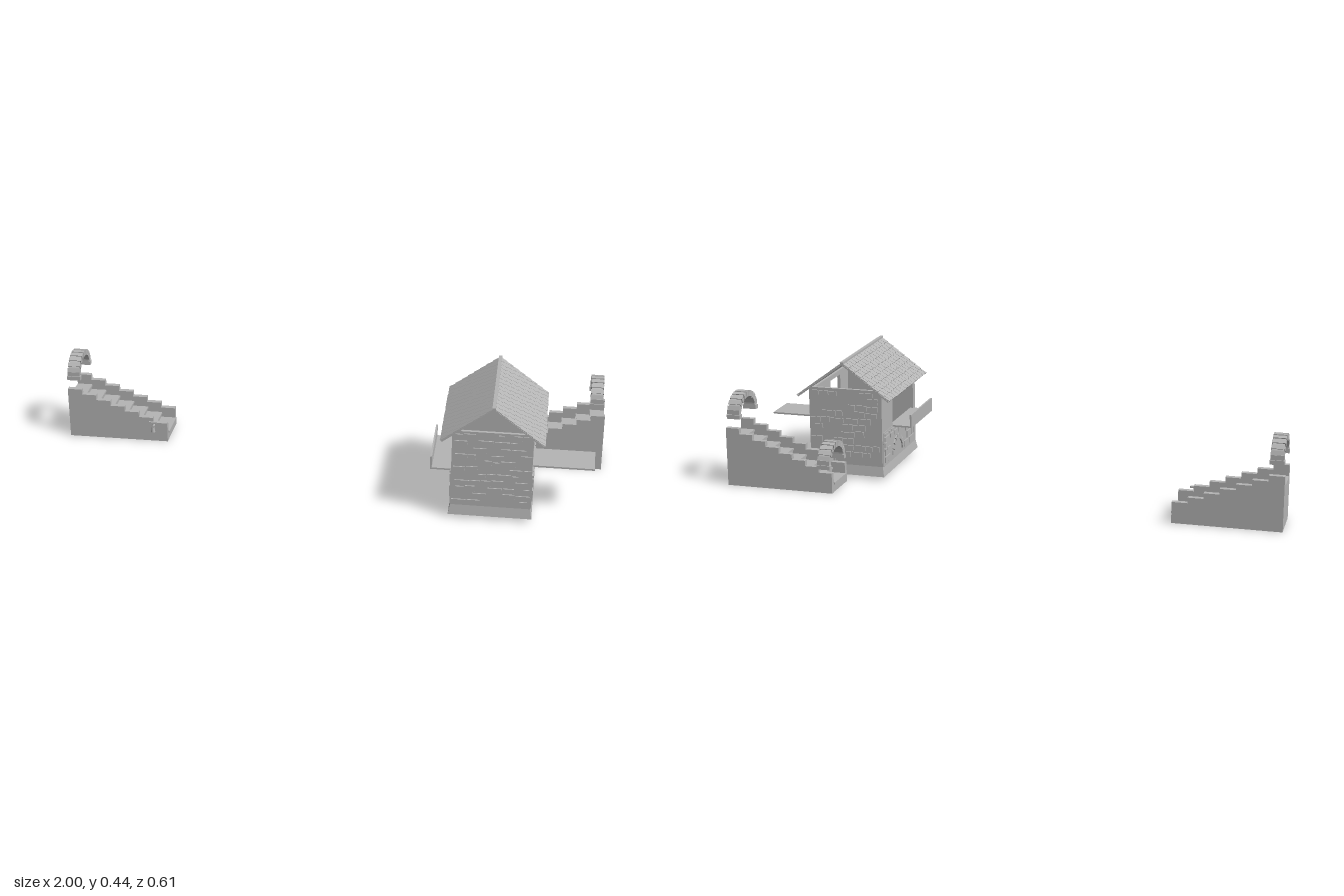
import * as THREE from 'three';

const stone = new THREE.MeshStandardMaterial({ color: 0xb4b4b4 });
stone.name = 'grey stone';

let seed = 7;
const rnd = () => (seed = (seed * 16807) % 2147483647) / 2147483647;

function add(parent, name, geo) {
  const m = new THREE.Mesh(geo, stone);
  m.name = name;
  parent.add(m);
  return m;
}

// Box given by its limits on each axis
function box(parent, name, x0, x1, y0, y1, z0, z1) {
  const m = add(parent, name, new THREE.BoxGeometry(x1 - x0, y1 - y0, z1 - z0));
  m.position.set((x0 + x1) / 2, (y0 + y1) / 2, (z0 + z1) / 2);
  return m;
}

function group(parent, name) {
  const g = new THREE.Group();
  g.name = name;
  parent.add(g);
  return g;
}

const CX = 0.615, CZ = 0.0875;          // hut centre
const X0 = 0.476, X1 = 0.754, Z0 = -0.105, Z1 = 0.28;

// Flared foot of the hut
function foot(parent) {
  const geo = new THREE.BoxGeometry(1, 0.037, 1);
  const p = geo.attributes.position;
  for (let i = 0; i < p.count; i++) {
    const top = p.getY(i) > 0;
    p.setX(i, p.getX(i) * (top ? 0.276 : 0.29));
    p.setZ(i, p.getZ(i) * (top ? 0.38 : 0.395));
  }
  geo.computeVertexNormals();
  add(parent, 'foot', geo).position.set(CX, 0.0315, CZ);
}

// Scattered stones on a gable wall
function gableStones(parent, z0, z1) {
  for (let r = 0; r < 11; r++) {
    const y = 0.056 + r * 0.0252;
    let x = X0 + 0.004 + rnd() * 0.015;
    while (x < X1 - 0.018) {
      const w = Math.min(0.018 + rnd() * 0.035, X1 - 0.003 - x);
      if (rnd() < 0.68) box(parent, 'gableStone', x, x + w, y, y + 0.016 + rnd() * 0.006, z0, z1);
      x += w + 0.004;
    }
  }
}

// Rows of stones on a long wall: y range, then start and end pairs along z
const ROWS = [
  [0.06, 0.082, 0.24, 0.186, 0.182, 0.132, 0.128, 0.073, 0.034, 0.011, 0.004, -0.023, -0.027, -0.061, -0.064, -0.086],
  [0.087, 0.112, 0.259, 0.236, 0.23, 0.211, 0.207, 0.164, 0.161, 0.107, 0.071, 0.043, 0.034, 0.005, -0.002, -0.021, -0.029, -0.061, -0.064, -0.086],
  [0.117, 0.135, 0.239, 0.211, 0.184, 0.15, 0.077, 0.039, 0, -0.025, -0.064, -0.086],
  [0.14, 0.156, 0.259, 0.211, 0.079, 0.061, 0.055, 0.014, 0.009, -0.025, -0.039, -0.086],
  [0.162, 0.17, 0.259, 0.229, 0.225, 0.175, 0.168, 0.154, 0.15, 0.104, 0.1, 0.061, 0.055, 0.032, 0.025, -0.016, -0.021, -0.039, -0.046, -0.086],
];
function sideStones(parent, x0, x1, skip) {
  for (const [y0, y1, ...s] of ROWS)
    for (let i = 0; i < s.length; i += 2)
      if (!skip || !skip((s[i] + s[i + 1]) / 2, y0))
        box(parent, 'sideStone', x0, x1, y0, y1, s[i + 1], s[i]);
}

// Shingled gable roof with a ridge cap
function roof(parent) {
  const g = group(parent, 'roof');
  const L = 0.217, zLen = 0.434, rows = 8, cols = 15;
  for (const side of [0, 1]) {
    const turn = group(g, 'roofSide');
    turn.position.set(CX, 0.434, CZ);
    turn.rotation.y = side * Math.PI;
    const slope = group(turn, 'roofSlope');
    slope.rotation.z = -0.635;
    box(slope, 'roofBoard', 0, L, -0.004, 0.001, -zLen / 2, zLen / 2);
    for (let r = 0; r < rows; r++) {
      const w = zLen / cols, off = (r % 2) * w / 2;
      for (let c = 0; c < cols + r % 2; c++) {
        const a = Math.max(-zLen / 2, -zLen / 2 + c * w - off) + 0.001;
        const b = Math.min(zLen / 2, -zLen / 2 + (c + 1) * w - off) - 0.001;
        const x = r * L / rows;
        const s = box(slope, 'shingle', x, x + L / rows + 0.001 + rnd() * 0.002, 0.001, 0.004, a, b);
        s.rotation.z = 0.08;
      }
    }
  }
  box(g, 'ridgeCap', CX - 0.006, CX + 0.006, 0.434, 0.441, CZ - 0.22, CZ + 0.22);
}

function hut(parent) {
  const g = group(parent, 'hut');
  foot(g);
  box(g, 'backWall', X0, X1, 0.05, 0.335, Z0, Z0 + 0.012);
  box(g, 'frontWall', X0, X1, 0.05, 0.335, Z1 - 0.012, Z1);
  gableStones(g, Z1 - 0.002, Z1 + 0.005);
  gableStones(g, Z0 - 0.005, Z0 + 0.002);

  // Long walls: a thicker lower part, posts beside the opening, and a lintel
  for (const [x0, x1, lo0, lo1, a, b] of [
    [X1 - 0.012, X1, X1 - 0.012, X1 + 0.002, 0.082, 0.185],
    [X0, X0 + 0.012, X0 - 0.002, X0 + 0.012, 0.015, 0.255],
  ]) {
    box(g, 'lowerWall', lo0, lo1, 0.048, 0.176, Z0 + 0.01, Z1 - 0.01);
    box(g, 'wallPost', x0, x1, 0.17, 0.328, Z0 + 0.01, a);
    box(g, 'wallPost', x0, x1, 0.17, 0.328, b, Z1 - 0.01);
    box(g, 'lintel', x0, x1, 0.31, 0.328, a, b);
  }
  sideStones(g, X1, X1 + 0.006);
  const az = 0.06;
  sideStones(g, X0 - 0.006, X0, (z, y) => Math.abs(z - az) < 0.075 && y < 0.13);

  // Small stone arch low on the right wall
  for (let i = 0; i < 9; i++) {
    const t = Math.PI * (i + 0.5) / 9;
    const s = add(g, 'hearthStone', new THREE.BoxGeometry(0.008, 0.02, 0.017));
    s.position.set(X0 - 0.003, 0.065 + 0.055 * Math.sin(t), az + 0.055 * Math.cos(t));
    s.rotation.x = t - Math.PI / 2;
    s.rotation.x *= -1;
  }

  // Serving counter and the tray on the other side
  box(g, 'counter', X1 - 0.012, 0.968, 0.172, 0.178, 0.064, 0.196);
  box(g, 'trayBoard', 0.404, X0 + 0.012, 0.172, 0.178, 0.01, 0.26);
  box(g, 'trayFront', 0.402, 0.408, 0.171, 0.221, 0.01, 0.26);
  roof(g);
}

// Stairs rising from xLow to xHigh between two stepped side walls
function stairs(parent, name, xLow, xHigh, n) {
  const g = group(parent, name);
  const w = (xHigh - xLow) / n, top = (i) => 0.075 + 0.02 * i;
  const s = new THREE.Shape();
  s.moveTo(xLow, 0);
  for (let i = 0; i < n; i++) {
    s.lineTo(xLow + i * w, top(i));
    s.lineTo(xLow + (i + 1) * w, top(i));
  }
  s.lineTo(xHigh, 0);
  for (const z of [-0.3, -0.167]) {
    const rail = add(g, 'sideWall', new THREE.ExtrudeGeometry(s, { depth: 0.019, bevelEnabled: false }));
    rail.position.z = z;
  }
  for (let i = 0; i < n; i++) {
    const a = xLow + i * w, b = a + w, h = top(i) - 0.04;
    box(g, 'step', Math.min(a, b), Math.max(a, b), 0.001, h, -0.282, -0.166);
    const nose = a - Math.sign(w) * 0.004;
    box(g, 'tread', Math.min(nose, b), Math.max(nose, b), h - 0.006, h + 0.001, -0.282, -0.166);
  }
}

// Stone arch spanning the stairs
function arch(parent, x, y) {
  const g = group(parent, 'arch');
  g.position.set(x, y, -0.2225);
  g.rotation.y = Math.PI / 2;
  const s = new THREE.Shape();
  s.moveTo(0.078, 0);
  s.lineTo(0.078, 0.018);
  s.absellipse(0, 0.018, 0.078, 0.064, 0, Math.PI, false);
  s.lineTo(-0.078, 0);
  s.lineTo(-0.062, 0);
  s.lineTo(-0.062, 0.018);
  s.absellipse(0, 0.018, 0.062, 0.046, Math.PI, 0, true);
  s.lineTo(0.062, 0);
  const ring = add(g, 'archRing', new THREE.ExtrudeGeometry(s, { depth: 0.04, bevelEnabled: false, curveSegments: 10 }));
  ring.position.z = -0.02;
  // Raised blocks along the ring, with a keystone and two feet
  for (let i = 1; i < 10; i++) {
    const t = Math.PI * i / 10, big = i === 5;
    const b = add(g, big ? 'keystone' : 'archBlock', new THREE.BoxGeometry(big ? 0.017 : 0.015, 0.021, 0.046));
    b.position.set(0.07 * Math.cos(t), 0.018 + 0.056 * Math.sin(t), 0);
    b.rotation.z = Math.atan2(0.07 * Math.sin(t), 0.056 * Math.cos(t)) - Math.PI / 2;
  }
  for (const k of [-1, 1]) {
    box(g, 'archFoot', k * 0.072 - 0.01, k * 0.072 + 0.01, 0, 0.015, -0.025, 0.025);
    box(g, 'archFoot', k * 0.072 - 0.009, k * 0.072 + 0.009, 0.017, 0.033, -0.023, 0.023);
  }
}

// Small water tap on the stair wall
function tap(parent) {
  const g = group(parent, 'tap');
  g.position.set(-0.675, 0.066, -0.148);
  const pipe = add(g, 'pipe', new THREE.CylinderGeometry(0.005, 0.006, 0.018, 10));
  pipe.rotation.x = Math.PI / 2;
  pipe.position.z = 0.008;
  add(g, 'spout', new THREE.CylinderGeometry(0.005, 0.008, 0.022, 10)).position.set(0, -0.012, 0.012);
  add(g, 'stem', new THREE.CylinderGeometry(0.003, 0.004, 0.016, 8)).position.set(0, 0.008, 0.011);
  box(g, 'handle', -0.015, 0.015, 0.012, 0.018, 0.007, 0.015);
}

export function createModel() {
  const model = new THREE.Group();
  model.name = 'hutWithStairs';
  hut(model);
  stairs(model, 'leftStairs', 0.6, 1, 8);
  stairs(model, 'rightStairs', -0.623, -1, 7);
  arch(model, 0.967, 0.251);
  arch(model, 0.63, 0.088);
  arch(model, -0.972, 0.235);
  tap(model);
  return model;
}
